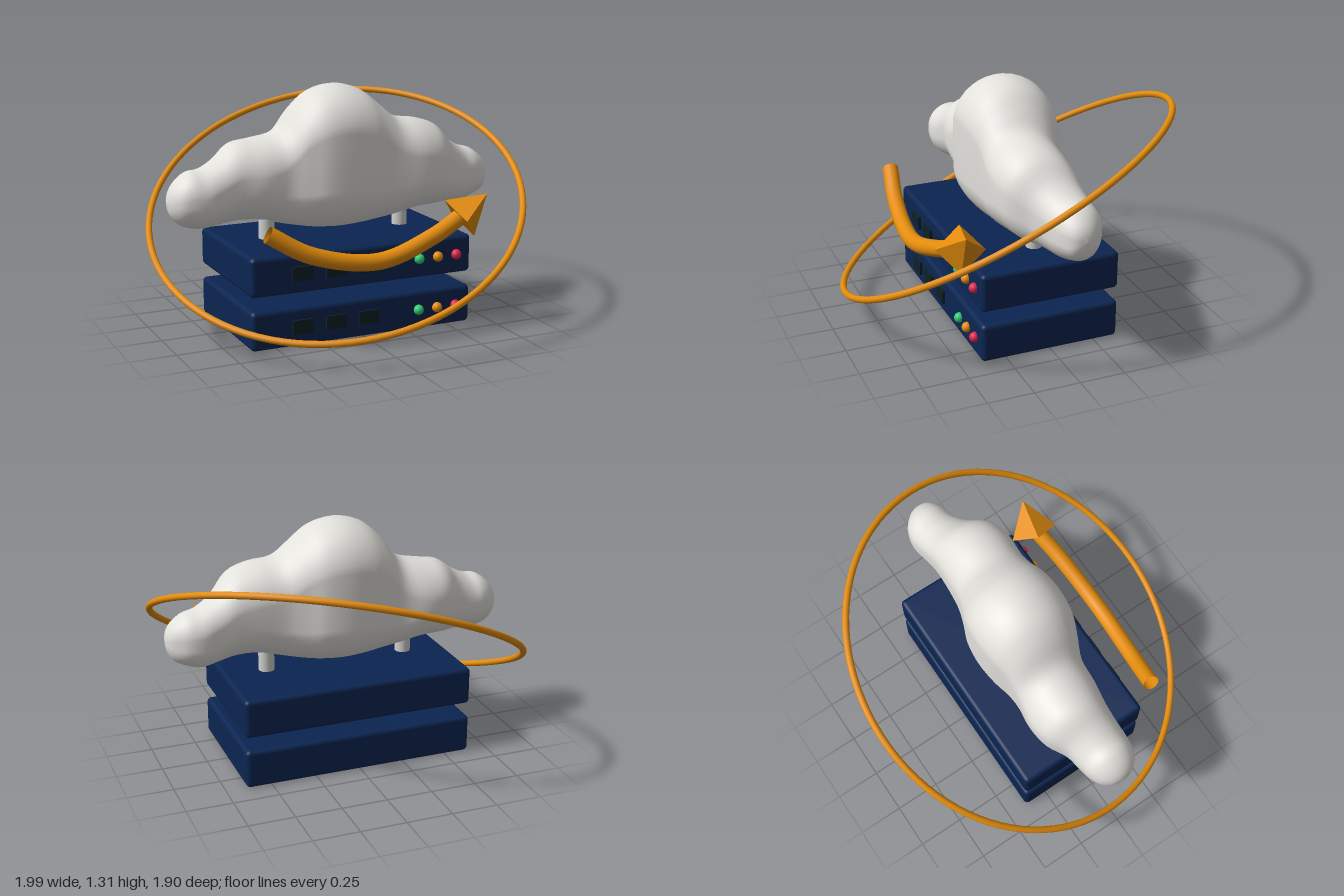
import * as THREE from 'three';
import { RoundedBoxGeometry } from 'three/addons/geometries/RoundedBoxGeometry.js';

const V = (x, y, z) => new THREE.Vector3(x, y, z);

function material(name, color, side = THREE.FrontSide) {
  const m = new THREE.MeshStandardMaterial({ color, side });
  m.name = name;
  return m;
}

// Cloud sections along x: [x, bottom, top, back, front]
const CLOUD = [
  [-0.955, 0.74, 0.74, 0.01, 0.01], [-0.94, 0.675, 0.8, -0.05, 0.07],
  [-0.9, 0.625, 0.855, -0.1, 0.12], [-0.84, 0.598, 0.895, -0.13, 0.145],
  [-0.77, 0.59, 0.905, -0.145, 0.155], [-0.68, 0.6, 0.95, -0.165, 0.15],
  [-0.58, 0.605, 1.02, -0.225, 0.15], [-0.46, 0.6, 1.04, -0.245, 0.17],
  [-0.33, 0.57, 1.075, -0.225, 0.175], [-0.23, 0.55, 1.2, -0.23, 0.21],
  [-0.13, 0.535, 1.28, -0.255, 0.245], [0, 0.527, 1.308, -0.267, 0.257],
  [0.13, 0.535, 1.277, -0.25, 0.25], [0.23, 0.55, 1.2, -0.21, 0.235],
  [0.33, 0.57, 1.12, -0.18, 0.24], [0.46, 0.6, 1.1, -0.17, 0.25],
  [0.58, 0.605, 1.06, -0.165, 0.225], [0.68, 0.6, 0.97, -0.17, 0.145],
  [0.78, 0.59, 0.912, -0.18, 0.095], [0.86, 0.61, 0.89, -0.165, 0.075],
  [0.92, 0.64, 0.845, -0.12, 0.045], [0.95, 0.69, 0.8, -0.08, 0.01],
  [0.96, 0.75, 0.75, -0.04, -0.04],
];

// Lofts rounded (stadium) sections through the smoothed profile
function cloudGeometry(steps = 88, sides = 36) {
  const heights = new THREE.CatmullRomCurve3(CLOUD.map((s) => V(s[0], s[1], s[2])), false, 'catmullrom');
  const depths = new THREE.CatmullRomCurve3(CLOUD.map((s) => V(s[0], s[3], s[4])), false, 'catmullrom');
  const positions = [], index = [];
  for (let i = 0; i <= steps; i++) {
    const h = heights.getPoint(i / steps), d = depths.getPoint(i / steps);
    const halfH = (h.z - h.y) / 2, halfW = (d.z - d.y) / 2, r = Math.min(halfH, halfW);
    for (let j = 0; j < sides; j++) {
      const a = ((j + 0.5) / sides) * Math.PI * 2, c = Math.cos(a), s = Math.sin(a);
      positions.push(
        h.x,
        (h.y + h.z) / 2 + r * s + Math.sign(s) * (halfH - r),
        (d.y + d.z) / 2 + r * c + Math.sign(c) * (halfW - r));
      if (i === steps) continue;
      const k = (j + 1) % sides, p = i * sides, q = p + sides;
      index.push(p + j, q + j, q + k, p + j, q + k, p + k);
    }
  }
  const g = new THREE.BufferGeometry();
  g.setAttribute('position', new THREE.Float32BufferAttribute(positions, 3));
  g.setIndex(index);
  g.computeVertexNormals();
  return g;
}

export function createModel() {
  const navy = material('navy casing', 0x0b2551);
  const white = material('cloud white', 0xe3e1dc);
  const grey = material('post grey', 0xd0d0ce);
  const orange = material('orange', 0xe38c0c, THREE.DoubleSide);
  const dark = material('dark bay', 0x0e1f28);
  const green = material('green light', 0x2ecc71);
  const red = material('red light', 0xe0244f);

  const model = new THREE.Group();
  const add = (parent, name, geometry, mat, x = 0, y = 0, z = 0) => {
    const m = new THREE.Mesh(geometry, mat);
    m.name = name;
    m.position.set(x, y, z);
    parent.add(m);
    return m;
  };

  // Two stacked server units with bays and status lights
  const caseGeo = new RoundedBoxGeometry(1.28, 0.21, 0.77, 4, 0.025);
  const bayGeo = new THREE.BoxGeometry(0.115, 0.075, 0.03);
  const lightGeo = new THREE.SphereGeometry(0.028, 16, 12);
  [0.105, 0.39].forEach((y, n) => {
    const unit = new THREE.Group();
    unit.name = n ? 'upperServer' : 'lowerServer';
    unit.position.y = y;
    model.add(unit);
    add(unit, 'casing', caseGeo, navy);
    for (const x of [-0.36, -0.17, 0.02]) add(unit, 'driveBay', bayGeo, dark, x, 0.003, 0.385);
    [green, orange, red].forEach((m, i) =>
      add(unit, 'statusLight', lightGeo, m, 0.32 + i * 0.113, 0.003, 0.392));
  });

  // Posts joining the units and the cloud
  const postGeo = new THREE.CylinderGeometry(0.043, 0.043, 0.65, 20);
  for (const side of [-1, 1]) add(model, 'post', postGeo, grey, side * 0.4, 0.425, 0);

  add(model, 'cloud', cloudGeometry(), white);

  // Tilted orbit ring
  const ring = add(model, 'orbitRing', new THREE.TorusGeometry(1.021, 0.018, 12, 96), orange, 0, 0.648, 0);
  ring.quaternion.setFromUnitVectors(V(0, 0, 1), V(-0.281, 0.866, 0.412).normalize());

  // Curved arrow with a four-sided head
  const arrow = new THREE.Group();
  arrow.name = 'arrow';
  model.add(arrow);
  const path = new THREE.CatmullRomCurve3([
    V(-0.58, 0.637, 0.47), V(-0.36, 0.515, 0.51), V(0, 0.452, 0.54),
    V(0.33, 0.54, 0.51), V(0.54, 0.63, 0.465),
  ]);
  add(arrow, 'arrowShaft', new THREE.TubeGeometry(path, 48, 0.045, 16), orange);
  const base = V(0.525, 0.61, 0.455), tip = V(0.677, 0.735, 0.48);
  const axis = tip.clone().sub(base);
  const headGeo = new THREE.ConeGeometry(0.13, axis.length(), 4).toNonIndexed();
  headGeo.computeVertexNormals();
  const head = add(arrow, 'arrowHead', headGeo, orange);
  head.position.copy(base).add(tip).multiplyScalar(0.5);
  axis.normalize();
  const u = V(0.0325, -0.005, -0.125);
  u.addScaledVector(axis, -u.dot(axis)).normalize();
  head.quaternion.setFromRotationMatrix(
    new THREE.Matrix4().makeBasis(u, axis, u.clone().cross(axis)));

  return model;
}
